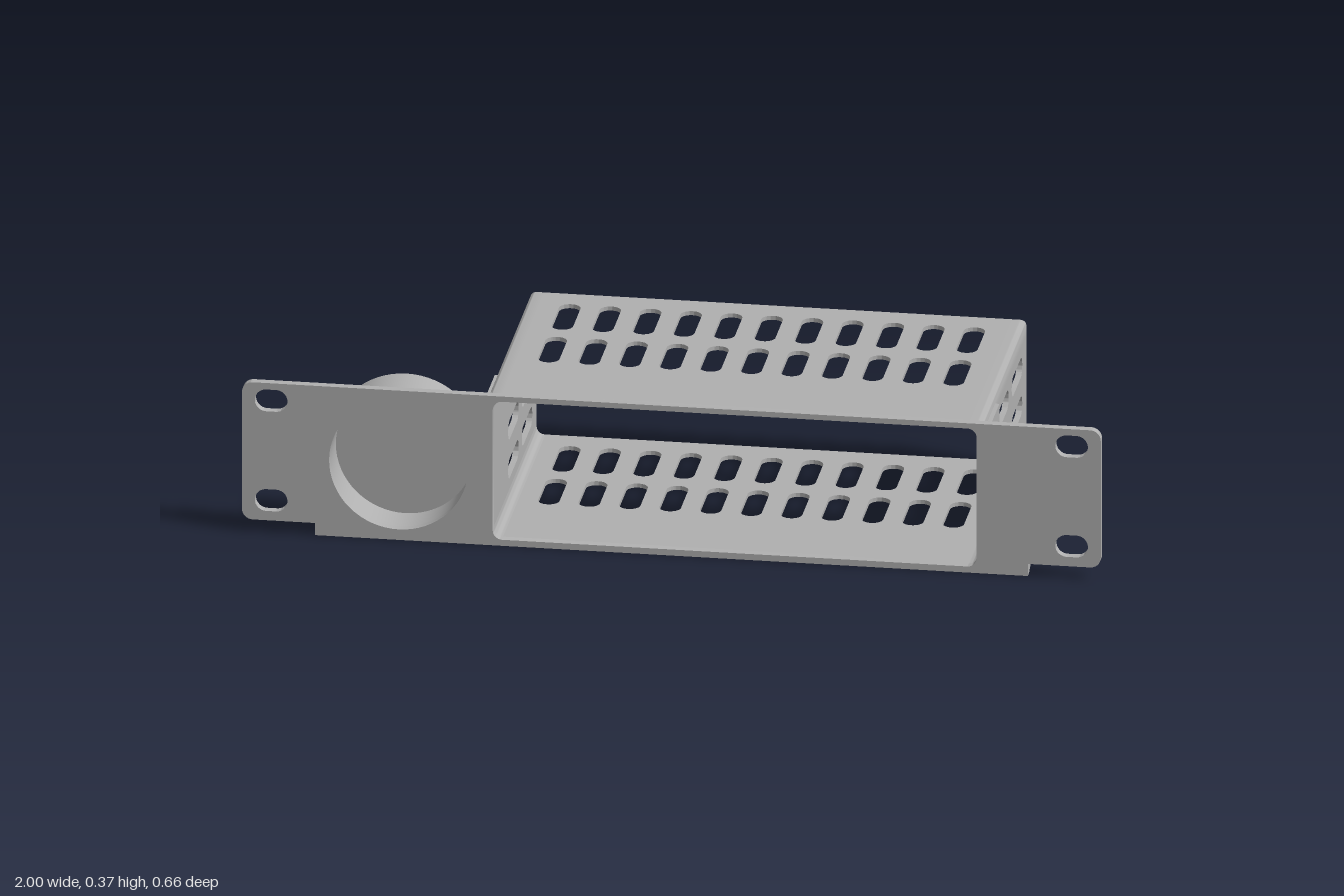
import * as THREE from 'three';
import { toCreasedNormals } from 'three/addons/utils/BufferGeometryUtils.js';

const Z_FRONT = 0.33, Z_PLATE = 0.31, Z_BACK = -0.33;
const BOX = { l: -0.43, r: 0.725, b: 0.005, t: 0.367 };
const WALL_X = 0.014, WALL_Y = 0.01, CORNER = 0.035;

// Rounded rectangle outline centred on (x, y); r = h / 2 gives a slot
function roundRect(target, x, y, w, h, r) {
  const a = x - w / 2, b = x + w / 2, c = y - h / 2, d = y + h / 2;
  target.moveTo(a + r, c).lineTo(b - r, c);
  target.absarc(b - r, c + r, r, -Math.PI / 2, 0);
  target.lineTo(b, d - r);
  target.absarc(b - r, d - r, r, 0, Math.PI / 2);
  target.lineTo(a + r, d);
  target.absarc(a + r, d - r, r, Math.PI / 2, Math.PI);
  target.lineTo(a, c + r);
  target.absarc(a + r, c + r, r, Math.PI, Math.PI * 1.5);
  return target;
}

const extrude = (shape, depth) =>
  new THREE.ExtrudeGeometry(shape, { depth, bevelEnabled: false, curveSegments: 10 });

export function createModel() {
  const group = new THREE.Group();
  const grey = new THREE.MeshStandardMaterial({ color: 0xb0b0b0 });
  grey.name = 'grey';

  function add(name, geometry) {
    const mesh = new THREE.Mesh(toCreasedNormals(geometry, 0.6), grey);
    mesh.name = name;
    group.add(mesh);
    return mesh;
  }

  // Front plate with stepped mounting ears
  const plate = new THREE.Shape();
  plate.moveTo(-0.83, 0).lineTo(0.83, 0).lineTo(0.83, 0.03).lineTo(0.975, 0.03);
  plate.absarc(0.975, 0.055, 0.025, -Math.PI / 2, 0);
  plate.absarc(0.975, 0.345, 0.025, 0, Math.PI / 2);
  plate.absarc(-0.975, 0.345, 0.025, Math.PI / 2, Math.PI);
  plate.absarc(-0.975, 0.055, 0.025, Math.PI, Math.PI * 1.5);
  plate.lineTo(-0.83, 0.03);
  for (const x of [-0.932, 0.932])
    for (const y of [0.08, 0.327])
      plate.holes.push(roundRect(new THREE.Path(), x, y, 0.076, 0.054, 0.0269));
  const il = BOX.l + WALL_X, ir = BOX.r - WALL_X, ib = BOX.b + WALL_Y, it = BOX.t - WALL_Y;
  plate.holes.push(roundRect(new THREE.Path(), (il + ir) / 2, (ib + it) / 2, ir - il, it - ib, 0.022));
  const cupHole = new THREE.Path();
  for (let i = 0; i < 64; i++) {
    const a = i / 64 * Math.PI * 2;
    const x = -0.635 + 0.162 * Math.cos(a), y = 0.188 + 0.162 * Math.sin(a);
    if (i) cupHole.lineTo(x, y); else cupHole.moveTo(x, y);
  }
  plate.holes.push(cupHole);
  add('frontPlate', extrude(plate, Z_FRONT - Z_PLATE)).position.z = Z_PLATE;

  // Round cup behind the plate, with a small recess in its back
  const cup = new THREE.LatheGeometry([
    [0, 0.222], [0.022, 0.222], [0.022, 0.21], [0.177, 0.21],
    [0.177, Z_PLATE], [0.162, Z_PLATE], [0.162, 0.228], [0, 0.228],
  ].map(p => new THREE.Vector2(...p)), 64);
  cup.rotateX(Math.PI / 2);
  add('roundCup', cup).position.set(-0.635, 0.188, 0);

  // Top and bottom vented panels
  const slotZ = [0.0175, -0.1875], slotLength = 0.159;
  const depth = Z_PLATE - Z_BACK;
  const flat = roundRect(new THREE.Shape(), (BOX.l + BOX.r) / 2, -(Z_PLATE + Z_BACK) / 2,
    BOX.r - BOX.l - 2 * CORNER, depth, 0);
  for (let i = 0; i < 11; i++)
    for (const z of slotZ)
      flat.holes.push(roundRect(new THREE.Path(), -0.325 + i * 0.0942, -z, 0.05, slotLength, 0.0249));
  for (const [name, y] of [['topPanel', BOX.t - WALL_Y], ['bottomPanel', BOX.b]])
    add(name, extrude(flat, WALL_Y).rotateX(-Math.PI / 2)).position.y = y;

  // Side vented panels
  const side = roundRect(new THREE.Shape(), -(Z_PLATE + Z_BACK) / 2, (BOX.b + BOX.t) / 2,
    depth, BOX.t - BOX.b - 2 * CORNER, 0);
  for (const y of [0.09, 0.186, 0.282])
    for (const z of slotZ)
      side.holes.push(roundRect(new THREE.Path(), -z, y, slotLength, 0.048, 0.0239));
  for (const [name, x] of [['leftPanel', BOX.r - WALL_X], ['rightPanel', BOX.l]])
    add(name, extrude(side, WALL_X).rotateY(Math.PI / 2)).position.x = x;

  // Rounded long corners of the box
  for (const [x, sx] of [[BOX.l, 1], [BOX.r, -1]])
    for (const [y, sy] of [[BOX.b, 1], [BOX.t, -1]]) {
      const s = new THREE.Shape();
      const p = (u, v) => [x + sx * u, y + sy * v];
      s.moveTo(...p(0, CORNER)).lineTo(...p(0, 0.016));
      s.quadraticCurveTo(...p(0, 0), ...p(0.016, 0));
      s.lineTo(...p(CORNER, 0)).lineTo(...p(CORNER, WALL_Y));
      s.quadraticCurveTo(...p(WALL_X, WALL_Y), ...p(WALL_X, CORNER));
      add('boxCorner', extrude(s, depth)).position.z = Z_BACK;
    }

  // Thin reinforcing pads where the sides meet the plate
  for (const x of [BOX.l - 0.005, BOX.r + 0.005])
    add('sidePad', new THREE.BoxGeometry(0.01, 0.326, 0.167)).position.set(x, 0.184, 0.2265);

  // Tapered stiffening ribs on the back of the plate
  function rib(x0, x1, y0, y1, height) {
    const s = new THREE.Shape();
    s.moveTo(-Z_PLATE, y0).lineTo(-Z_PLATE + height, y0 + height * 0.5);
    s.lineTo(-Z_PLATE + height, y1 - height * 0.4).lineTo(-Z_PLATE, y1);
    add('stiffeningRib', extrude(s, x1 - x0).rotateY(Math.PI / 2)).position.x = x0;
  }
  rib(0.725, 0.86, 0.34, 0.37, 0.024);
  rib(0.725, 0.83, 0, 0.03, 0.024);
  rib(0.8, 0.86, 0.03, 0.057, 0.024);
  rib(-0.865, -0.82, 0.34, 0.37, 0.008);
  rib(-0.865, -0.82, 0.03, 0.057, 0.008);

  return group;
}
